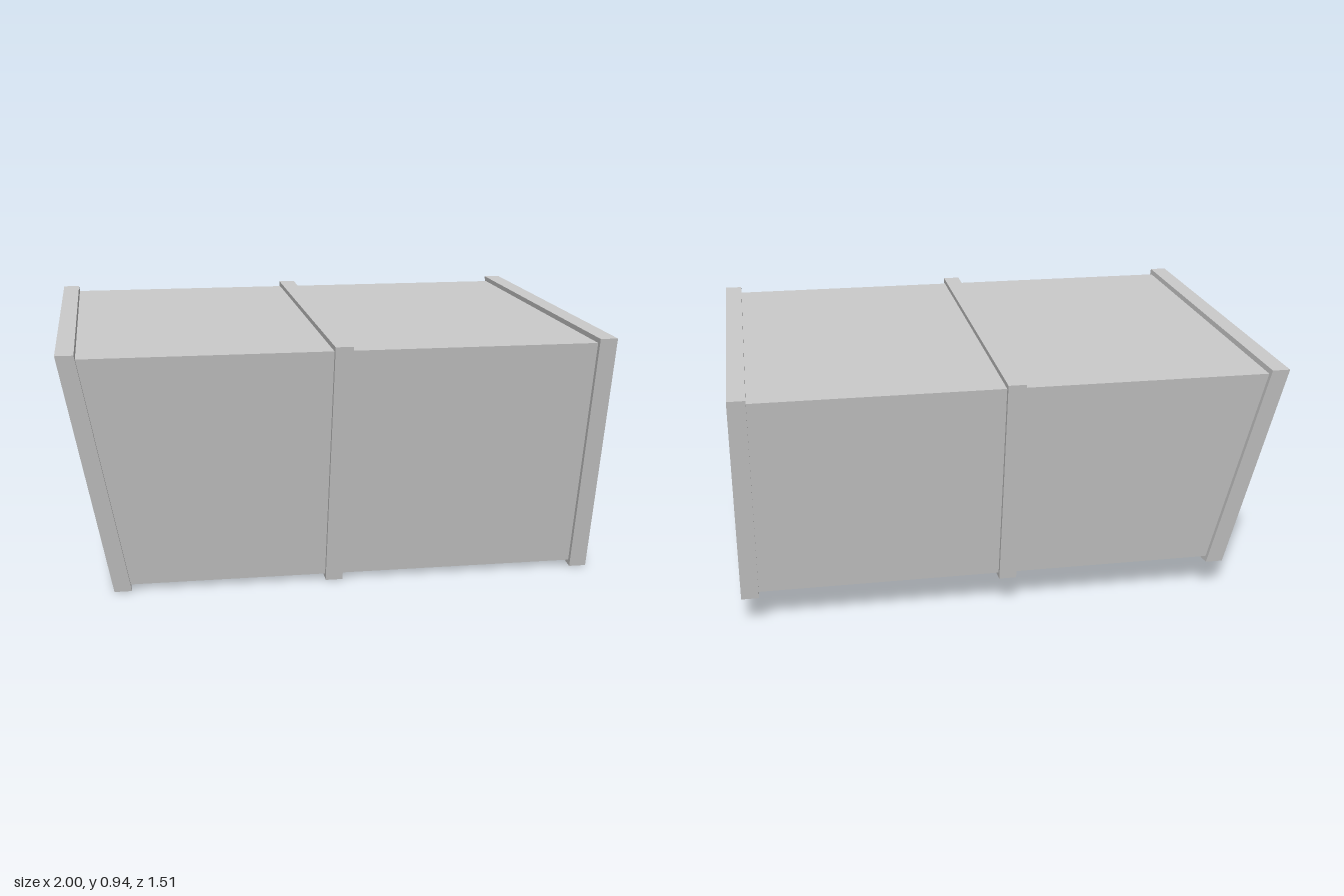
import * as THREE from 'three';

// Outline of the case seen from +x: [-z, y], counter-clockwise
const OUTER = [[-0.755, 0.945], [-0.555, 0], [0.605, 0.12], [0.755, 0.945]]
  .map(([s, y]) => new THREE.Vector2(s, y));

// Moves every edge of a convex outline inwards by d
function inset(points, d) {
  const n = points.length;
  return points.map((p, i) => {
    const a = p.clone().sub(points[(i + n - 1) % n]).normalize();
    const b = points[(i + 1) % n].clone().sub(p).normalize();
    const na = new THREE.Vector2(-a.y, a.x);
    const nb = new THREE.Vector2(-b.y, b.x);
    return p.clone().addScaledVector(na.add(nb), d / (1 + a.dot(b)));
  });
}

// Prism along x from x0 to x1; vertices left of x = -0.7 follow the sloping end
function prism(name, outline, hole, x0, x1, material) {
  const shape = new THREE.Shape(outline);
  if (hole) shape.holes.push(new THREE.Path(hole));
  const geo = new THREE.ExtrudeGeometry(shape, { depth: x1 - x0, bevelEnabled: false });
  geo.rotateY(Math.PI / 2).translate(x0, 0, 0);
  const pos = geo.attributes.position;
  for (let i = 0; i < pos.count; i++) {
    if (pos.getX(i) < -0.7) pos.setX(i, pos.getX(i) + 0.17 * (1 - pos.getY(i) / 0.945));
  }
  geo.computeVertexNormals();
  const mesh = new THREE.Mesh(geo, material);
  mesh.name = name;
  return mesh;
}

export function createModel() {
  const group = new THREE.Group();
  group.name = 'taperedCase';
  const material = new THREE.MeshStandardMaterial({ color: 0xcccccc });
  const body = inset(OUTER, 0.019);
  const opening = inset(OUTER, 0.065);

  // Closed body, slightly recessed in the right rim
  group.add(prism('body', body, null, -0.6, 0.98, material));
  // Hollow mouth at the sloping end
  group.add(prism('mouthSleeve', body, opening, -0.935, -0.6, material));
  // Bands around the body
  group.add(prism('openEndRim', OUTER, opening, -1, -0.935, material));
  group.add(prism('middleBand', OUTER, body, -0.0325, 0.0325, material));
  group.add(prism('closedEndRim', OUTER, body, 0.935, 1, material));
  return group;
}
